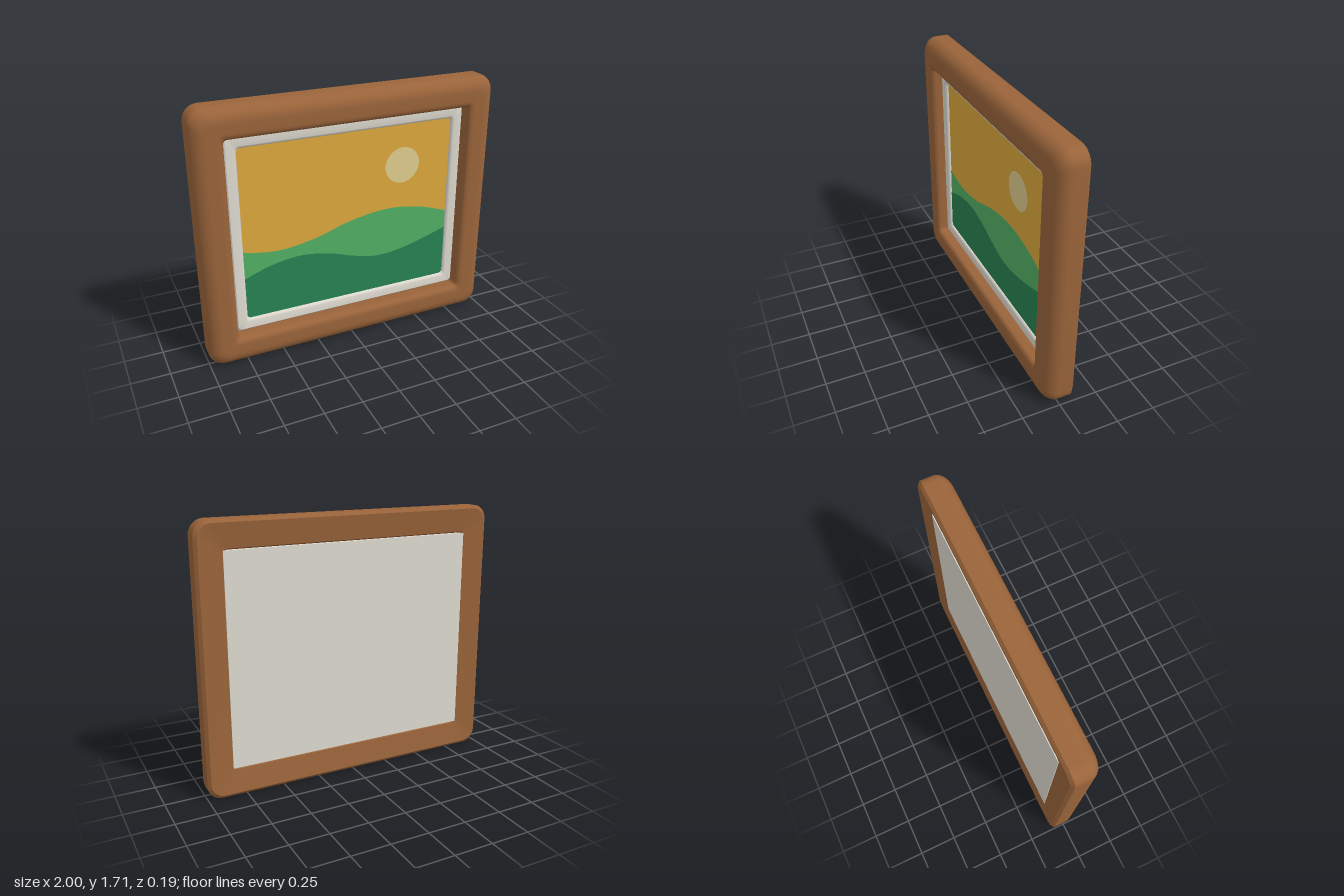
import * as THREE from 'three';
import { toCreasedNormals } from 'three/addons/utils/BufferGeometryUtils.js';

const CY = 0.855; // height of the frame's centre

const mat = (name, color, side = THREE.FrontSide) => {
  const m = new THREE.MeshStandardMaterial({ color, side });
  m.name = name;
  return m;
};

// Points around a rounded rectangle, counter-clockwise seen from the front
function roundedLoop(hw, hh, r, seg = 8) {
  const pts = [];
  [[1, 1], [-1, 1], [-1, -1], [1, -1]].forEach(([sx, sy], k) => {
    for (let i = 0; i <= seg; i++) {
      const a = (k + i / seg) * Math.PI / 2;
      pts.push([sx * (hw - r) + r * Math.cos(a), sy * (hh - r) + r * Math.sin(a)]);
    }
  });
  return pts;
}

// Sweeps a closed profile of [inset, z] around a rounded rectangle
function sweepFrame(profile, hw, hh, radiusAt, crease) {
  const loops = profile.map(([d, z]) =>
    roundedLoop(hw - d, hh - d, radiusAt(d)).map(([x, y]) => [x, y, z]));
  const pos = [], index = [], n = loops[0].length, m = loops.length;
  loops.forEach(loop => loop.forEach(p => pos.push(...p)));
  for (let j = 0; j < m; j++) {
    const k = (j + 1) % m;
    for (let i = 0; i < n; i++) {
      const i2 = (i + 1) % n;
      const a = j * n + i, b = j * n + i2, c = k * n + i2, d = k * n + i;
      index.push(a, b, c, a, c, d);
    }
  }
  const geo = new THREE.BufferGeometry();
  geo.setAttribute('position', new THREE.Float32BufferAttribute(pos, 3));
  geo.setIndex(index);
  return toCreasedNormals(geo, crease);
}

// Points of a quarter ellipse, from angle a0 to a1
function arc(cx, cz, rx, rz, a0, a1, seg) {
  return Array.from({ length: seg + 1 }, (_, i) => {
    const a = a0 + (a1 - a0) * i / seg;
    return [cx - rx * Math.cos(a), cz + rz * Math.sin(a)];
  });
}

export function createModel() {
  const wood = mat('wood', 0x9a643a);
  const card = mat('card', 0xdedad0);
  const sky = mat('sky', 0xdca83b, THREE.DoubleSide);
  const sun = mat('sun', 0xdfcd8e, THREE.DoubleSide);
  const lightGreen = mat('light green', 0x52b064, THREE.DoubleSide);
  const darkGreen = mat('dark green', 0x278252, THREE.DoubleSide);

  const group = new THREE.Group();
  const add = (name, geo, material, x = 0, y = CY, z = 0) => {
    const mesh = new THREE.Mesh(geo, material);
    mesh.name = name;
    mesh.position.set(x, y, z);
    group.add(mesh);
    return mesh;
  };

  // Wooden frame: chamfered back, big outer round, small inner round
  const half = Math.PI / 2;
  const woodProfile = [
    [0.02, -0.095], [0, -0.077],
    ...arc(0.09, 0.005, 0.09, 0.09, 0, half, 10),
    ...arc(0.15, 0.065, 0.04, 0.03, half, Math.PI, 6),
    [0.19, -0.02], [0.17, -0.074],
  ];
  add('frame', sweepFrame(woodProfile, 1, CY, d => 0.095 - 0.37 * d, 0.7), wood);

  // Pale mount around the picture, with softened edges
  const mountProfile = [
    [0, -0.01], [0, 0.008], [0.012, 0.022], [0.06, 0.022],
    [0.07, 0.019], [0.078, 0.008], [0.078, -0.01],
  ];
  add('mount', sweepFrame(mountProfile, 0.803, 0.658, () => 0.025, 0.7), card, 0, 0.86);
  // Dark wooden rebate between mount and frame
  add('rebate', new THREE.BoxGeometry(1.64, 1.35, 0.01), wood, 0, CY, -0.012);

  // Backing board
  add('backingBoard', new THREE.BoxGeometry(1.66, 1.35, 0.06), card, 0, CY, -0.048);

  // Picture: sky, sun and two rolling hills as thin layers
  const W = 0.728, bottom = 0.277, top = 1.443;
  add('sky', new THREE.PlaneGeometry(2 * W, top - bottom), sky, 0, (top + bottom) / 2, 0.001);
  add('sun', new THREE.CircleGeometry(0.123, 40), sun, 0.378, 1.163, 0.003);

  const hill = crest => {
    const shape = new THREE.Shape();
    shape.moveTo(W, bottom);
    shape.lineTo(W, crest[crest.length - 1][1]);
    const curve = new THREE.SplineCurve(crest.map(p => new THREE.Vector2(...p)));
    curve.getPoints(48).reverse().forEach(p => shape.lineTo(p.x, p.y));
    shape.lineTo(-W, bottom);
    return new THREE.ShapeGeometry(shape);
  };
  add('farHill', hill([[-W, 0.755], [-0.5, 0.722], [-0.25, 0.755], [0, 0.83],
    [0.26, 0.869], [0.5, 0.844], [W, 0.773]]), lightGreen, 0, 0, 0.003);
  add('nearHill', hill([[-W, 0.565], [-0.55, 0.627], [-0.35, 0.655], [-0.15, 0.628],
    [0.03, 0.57], [0.22, 0.534], [0.45, 0.565], [W, 0.648]]), darkGreen, 0, 0, 0.005);

  return group;
}
